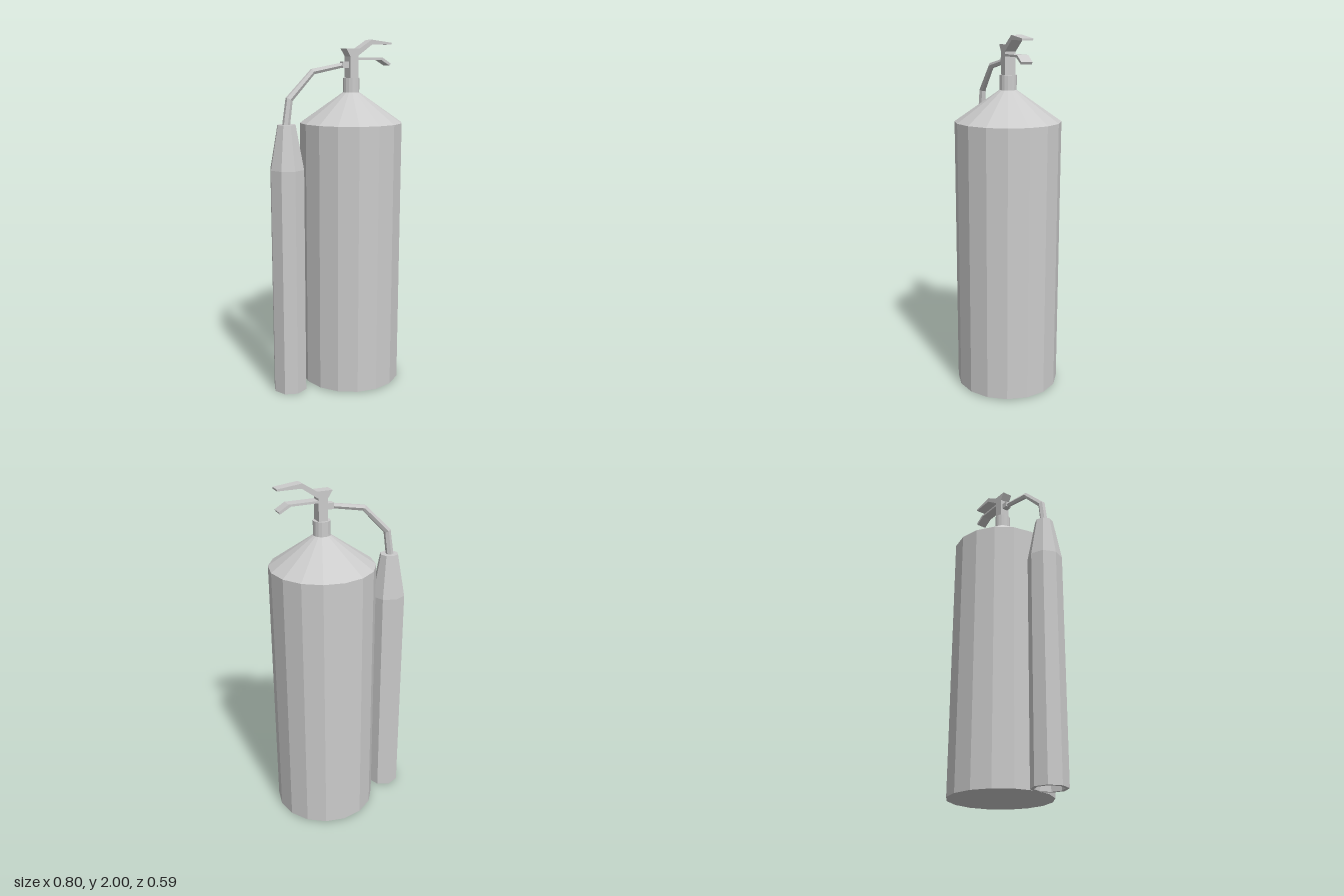
import * as THREE from 'three';

const material = new THREE.MeshStandardMaterial({ color: 0xcccccc, flatShading: true });

function add(group, name, geometry, x = 0, y = 0, z = 0) {
  const mesh = new THREE.Mesh(geometry, material);
  mesh.name = name;
  mesh.position.set(x, y, z);
  group.add(mesh);
  return mesh;
}

// Faceted solid of revolution from [radius, height] pairs, bottom to top
function turned(profile, sides) {
  return new THREE.LatheGeometry(profile.map(([r, y]) => new THREE.Vector2(r, y)), sides);
}

// Tapered tube with mitred bends along a path [x, y, radius] in the z = 0 plane
function mitredHose(path, sides) {
  const points = path.map(([x, y]) => new THREE.Vector2(x, y));
  const positions = [], index = [];
  points.forEach((p, i) => {
    const before = p.clone().sub(points[Math.max(i - 1, 0)]).normalize();
    const after = points[Math.min(i + 1, points.length - 1)].clone().sub(p).normalize();
    const tangent = before.clone().add(after).normalize();
    const stretch = 1 / tangent.dot(i ? before : after);
    const r = path[i][2];
    for (let j = 0; j < sides; j++) {
      const a = (j / sides) * Math.PI * 2;
      const side = Math.sin(a) * r * stretch;
      positions.push(p.x - tangent.y * side, p.y + tangent.x * side, Math.cos(a) * r);
    }
  });
  for (let i = 0; i < points.length - 1; i++) {
    for (let j = 0; j < sides; j++) {
      const a = i * sides + j, b = i * sides + (j + 1) % sides;
      index.push(a, a + sides, b, b, a + sides, b + sides);
    }
  }
  const geometry = new THREE.BufferGeometry();
  geometry.setAttribute('position', new THREE.Float32BufferAttribute(positions, 3));
  geometry.setIndex(index);
  geometry.computeVertexNormals();
  return geometry;
}

export function createModel() {
  const model = new THREE.Group();
  model.name = 'fireExtinguisher';
  const bodyX = 0.107, hornX = -0.304;

  // Tank with conical shoulder
  add(model, 'tank', turned([
    [0, 0.01], [0.293, 0.01], [0.293, 1.54], [0.047, 1.71], [0, 1.71],
  ], 16), bodyX);

  // Neck collar
  add(model, 'neck', new THREE.CylinderGeometry(0.047, 0.047, 0.09, 16), bodyX, 1.745);

  // Discharge horn, hollow at the bottom
  add(model, 'horn', turned([
    [0, 0.4], [0.078, 0.4], [0.078, 0], [0.098, 0], [0.098, 1.3], [0.052, 1.545], [0, 1.545],
  ], 8), hornX);

  // Hose from horn to valve
  const hose = add(model, 'hose', mitredHose([
    [-0.308, 1.53, 0.022], [-0.286, 1.68, 0.02], [-0.14, 1.826, 0.017], [0.06, 1.862, 0.015],
  ], 6));
  hose.material = material.clone();
  hose.material.side = THREE.DoubleSide;

  // Hose fitting on the valve
  add(model, 'hoseFitting', new THREE.BoxGeometry(0.045, 0.034, 0.036), 0.066, 1.862, 0);

  // Valve stem with carrying handle and squeeze lever in one profile
  const profile = new THREE.Shape([
    [0.083, 1.78], [0.136, 1.78], [0.136, 1.889], [0.288, 1.889], [0.348, 1.856],
    [0.355, 1.868], [0.3, 1.901], [0.136, 1.901], [0.136, 1.912], [0.228, 1.974],
    [0.36, 1.974], [0.36, 1.984], [0.224, 2], [0.143, 1.95], [0.056, 1.95], [0.083, 1.908],
  ].map(([x, y]) => new THREE.Vector2(x, y)));
  const depth = 0.062;
  add(model, 'valveAndLevers',
    new THREE.ExtrudeGeometry(profile, { depth, bevelEnabled: false }), 0, 0, -depth / 2);

  return model;
}
